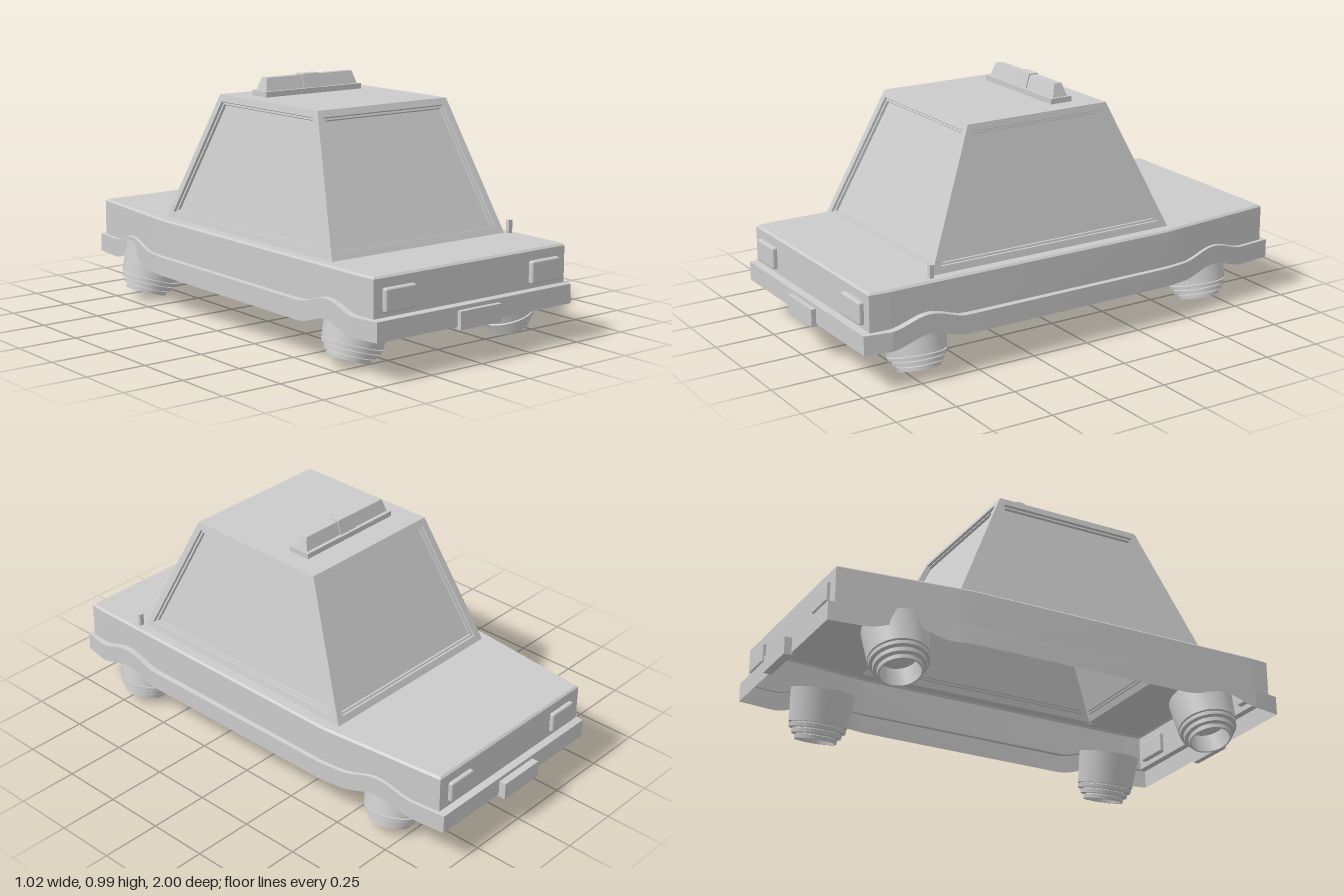
import * as THREE from 'three';
import { toCreasedNormals } from 'three/addons/utils/BufferGeometryUtils.js';
import { RoundedBoxGeometry } from 'three/addons/geometries/RoundedBoxGeometry.js';

const CX = -0.007; // centre line of the body
const grey = new THREE.MeshStandardMaterial({ color: 0xcccccc, side: THREE.DoubleSide });
const V = (x, y, z) => new THREE.Vector3(x, y, z);

function add(parent, name, geometry, x = 0, y = 0, z = 0) {
  const mesh = new THREE.Mesh(geometry, grey);
  mesh.name = name;
  mesh.position.set(x, y, z);
  parent.add(mesh);
  return mesh;
}

// Joins closed rows of points; an optional quad cap fills the last row.
function loft(rows, cap = false) {
  const n = rows[0].length, pos = [], idx = [];
  rows.forEach(r => r.forEach(p => pos.push(p.x, p.y, p.z)));
  for (let r = 0; r < rows.length - 1; r++) {
    for (let i = 0; i < n; i++) {
      const a = r * n + i, b = r * n + (i + 1) % n;
      idx.push(a, b, b + n, a, b + n, a + n);
    }
  }
  if (cap) {
    const o = (rows.length - 1) * n;
    idx.push(o, o + 1, o + 2, o, o + 2, o + 3);
  }
  const g = new THREE.BufferGeometry();
  g.setAttribute('position', new THREE.Float32BufferAttribute(pos, 3));
  g.setIndex(idx);
  return toCreasedNormals(g, 0.45);
}

// Half width at z from a short list of [z, halfWidth], front to back.
function widthAt(profile, z) {
  for (let i = 1; i < profile.length; i++) {
    const [z0, w0] = profile[i - 1], [z1, w1] = profile[i];
    if (z >= z1) return w0 + (w1 - w0) * (z - z0) / (z1 - z0);
  }
  return profile[profile.length - 1][1];
}

// Rise of the side skirt over each thruster.
function arch(z) {
  let rise = 0;
  for (const c of [0.71, -0.66]) {
    const t = Math.abs(z - c) / 0.17;
    if (t < 1) rise += 0.0185 * (1 + Math.cos(Math.PI * t));
  }
  return rise;
}

// Plan outline: down the left side, then back up the right side.
function outline(profile, height, inset = 0) {
  const front = profile[0][0], back = profile[profile.length - 1][0];
  const zs = profile.map(p => p[0]);
  for (let i = 0; i <= 16; i++) zs.push(0.54 + i * 0.34 / 16 - 0.001, -0.83 + i * 0.34 / 16);
  zs.sort((a, b) => b - a);
  const side = zs.map(z => V(widthAt(profile, z) - inset, height(z),
    Math.min(front - inset, Math.max(back + inset, z))));
  const left = side.map(p => V(CX + p.x, p.y, p.z));
  const right = side.map(p => V(CX - p.x, p.y, p.z)).reverse();
  return [...left, ...right];
}

// Moves the corners of a flat quad inward by d and back by depth.
function insetQuad(q, d, depth) {
  const normal = q[1].clone().sub(q[0]).cross(q[3].clone().sub(q[0])).normalize();
  return q.map((p, i) => {
    const e1 = q[(i + 1) % 4].clone().sub(p).normalize();
    const e2 = q[(i + 3) % 4].clone().sub(p).normalize();
    const s = d / e1.clone().cross(e2).length();
    return p.clone().addScaledVector(e1.add(e2), s).addScaledVector(normal, -depth);
  });
}

function addHull(car) {
  const skirt = [[0.98, 0.487], [0.87, 0.507], [-0.4, 0.499], [-0.5, 0.484], [-0.97, 0.432]];
  const body = [[0.95, 0.478], [0.87, 0.483], [-0.4, 0.483], [-0.5, 0.472], [-0.94, 0.424]];
  const skirtTop = z => 0.235 + arch(z);
  add(car, 'skirt', loft([
    outline(skirt, z => 0.158 + arch(z)),
    outline(skirt, skirtTop),
    outline(body, z => skirtTop(z) + 0.003),
  ]));
  add(car, 'bodySides', loft([
    outline(body, skirtTop),
    outline(body, () => 0.383),
    outline(body, () => 0.391, 0.008),
  ]));
  // Hood and trunk deck with an opening under the cabin
  const deck = new THREE.Shape(outline(body, () => 0, 0.008).map(p => new THREE.Vector2(p.x, -p.z)));
  const hole = [[-0.435, -0.66], [0.435, -0.66], [0.435, 0.44], [-0.435, 0.44]];
  deck.holes.push(new THREE.Path(hole.map(([x, y]) => new THREE.Vector2(CX + x, y))));
  add(car, 'deck', new THREE.ShapeGeometry(deck).rotateX(-Math.PI / 2), 0, 0.391, 0);
}

function addCabin(car) {
  const cabin = new THREE.Group();
  cabin.name = 'cabin';
  cabin.position.x = CX;
  car.add(cabin);
  const ring = (w, y, front, back) => [V(-w, y, front), V(w, y, front), V(w, y, back), V(-w, y, back)];
  const base = ring(0.435, 0.391, 0.66, -0.44);
  const top = ring(0.324, 0.916, 0.43, -0.205);
  // Each wall is a frame with a stepped, recessed window
  ['frontWindow', 'leftWindow', 'rearWindow', 'rightWindow'].forEach((name, i) => {
    const j = (i + 1) % 4;
    const wall = [base[i], base[j], top[j], top[i]];
    add(cabin, name, loft([
      wall,
      insetQuad(wall, 0.028, 0),
      insetQuad(wall, 0.03, 0.01),
      insetQuad(wall, 0.038, 0.01),
      insetQuad(wall, 0.04, 0.02),
    ], true));
  });
  add(cabin, 'roof', loft([top, insetQuad(top, 0.01, 0)], true));
}

function addBeacon(car) {
  const beacon = new THREE.Group();
  beacon.name = 'roofBeacon';
  beacon.position.set(CX, 0.915, -0.05);
  car.add(beacon);
  const rect = (x, y, z) => [V(-x, y, z), V(x, y, z), V(x, y, -z), V(-x, y, -z)];
  add(beacon, 'beaconBase', loft([rect(0.242, 0, 0.048), rect(0.242, 0.023, 0.048)], true));
  add(beacon, 'beaconLamp', loft([rect(0.232, 0.023, 0.033), rect(0.217, 0.075, 0.017)], true));
  add(beacon, 'beaconCentre', loft([rect(0.043, 0.023, 0.037), rect(0.043, 0.079, 0.021)], true));
}

function addThrusters(car) {
  // Hollow nozzle with stacked rings, mouth at y = 0
  const profile = [
    [0, 0.075], [0.072, 0.075], [0.078, 0], [0.085, 0], [0.087, 0.016], [0.08, 0.018], [0.08, 0.022],
    [0.1, 0.022], [0.102, 0.038], [0.094, 0.04], [0.094, 0.044], [0.114, 0.044], [0.116, 0.058],
    [0.107, 0.06], [0.107, 0.065], [0.118, 0.065], [0.129, 0.2], [0, 0.2],
  ].map(([r, y]) => new THREE.Vector2(r, y));
  const geometry = toCreasedNormals(new THREE.LatheGeometry(profile, 32), 0.5);
  const places = [
    ['frontLeft', 0.41, 0.71], ['frontRight', -0.405, 0.71],
    ['rearLeft', 0.37, -0.66], ['rearRight', -0.41, -0.66],
  ];
  for (const [name, x, z] of places) {
    add(car, name + 'Thruster', geometry, x, 0.028, z).rotation.z = Math.sign(x) * 0.29;
  }
}

export function createModel() {
  const car = new THREE.Group();
  car.name = 'hoverCar';
  addHull(car);
  addCabin(car);
  addBeacon(car);
  addThrusters(car);

  // Lamps
  for (const s of [-1, 1]) {
    const side = s > 0 ? 'left' : 'right';
    add(car, side + 'Headlight', new RoundedBoxGeometry(0.148, 0.09, 0.04, 2, 0.008), CX + s * 0.363, 0.302, 0.95);
    add(car, side + 'TailLight', new RoundedBoxGeometry(0.13, 0.085, 0.04, 2, 0.008), CX + s * 0.31, 0.302, -0.937);
  }
  // Plates and antenna
  add(car, 'frontPlate', new THREE.BoxGeometry(0.205, 0.071, 0.025), CX, 0.184, 0.9875);
  add(car, 'rearPlate', new THREE.BoxGeometry(0.205, 0.071, 0.035), CX, 0.184, -0.9825);
  add(car, 'antenna', new THREE.BoxGeometry(0.019, 0.055, 0.016), 0.443, 0.416, 0.673);
  return car;
}
